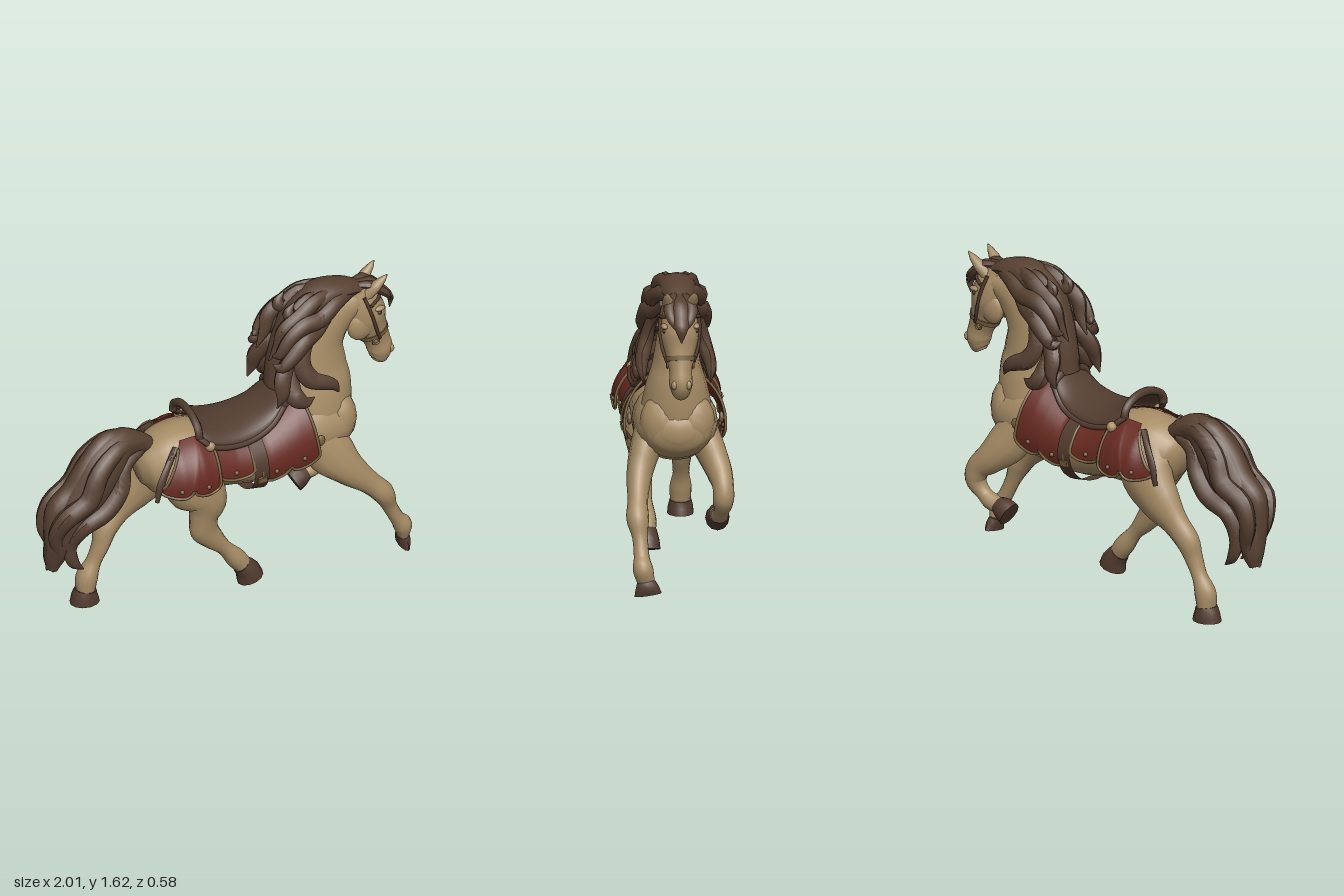
import * as THREE from 'three';
import { toCreasedNormals } from 'three/addons/utils/BufferGeometryUtils.js';

const mat = (name, color, side = THREE.FrontSide) => {
  const m = new THREE.MeshStandardMaterial({ color, side });
  m.name = name;
  return m;
};
const V = (x, y, z) => new THREE.Vector3(x, y, z);

// Solid skinned over elliptical sections [x, y, z, radius in profile, radius across]
function loft(sections, sides = 12, per = 4) {
  const path = new THREE.CatmullRomCurve3(sections.map(s => V(s[0], s[1], s[2])));
  const size = new THREE.CatmullRomCurve3(sections.map(s => V(s[3], s[4], 0)), false, 'catmullrom', 0.4);
  const n = (sections.length - 1) * per, pos = [], idx = [];
  for (let i = 0; i <= n; i++) {
    const c = path.getPoint(i / n), t = path.getTangent(i / n), r = size.getPoint(i / n);
    const side = V(0, 0, 1).addScaledVector(t, -t.z).normalize();
    const up = side.clone().cross(t);
    for (let j = 0; j < sides; j++) {
      const a = (j / sides) * Math.PI * 2;
      const p = c.clone().addScaledVector(up, r.x * Math.cos(a)).addScaledVector(side, r.y * Math.sin(a));
      pos.push(p.x, p.y, p.z);
    }
  }
  for (const k of [0, sections.length - 1]) pos.push(...sections[k].slice(0, 3));
  const start = (n + 1) * sides;
  for (let j = 0; j < sides; j++) {
    const k = (j + 1) % sides;
    for (let i = 0; i < n; i++) {
      const a = i * sides + j, b = i * sides + k;
      idx.push(a, b, a + sides, b, b + sides, a + sides);
    }
    idx.push(start, k, j, start + 1, n * sides + j, n * sides + k);
  }
  const g = new THREE.BufferGeometry();
  g.setAttribute('position', new THREE.Float32BufferAttribute(pos, 3));
  g.setIndex(idx);
  return toCreasedNormals(g, 0.8);
}

// Open sheet from a rule f(u, v) -> Vector3
function sheet(nu, nv, f) {
  const g = new THREE.PlaneGeometry(1, 1, nu, nv), p = g.attributes.position;
  for (let j = 0, k = 0; j <= nv; j++) for (let i = 0; i <= nu; i++, k++) {
    const q = f(i / nu, j / nv);
    p.setXYZ(k, q.x, q.y, q.z);
  }
  g.computeVertexNormals();
  return g;
}
const tube = (pts, r, n = 24) => new THREE.TubeGeometry(new THREE.CatmullRomCurve3(pts), n, r, 6);
const mix = THREE.MathUtils.lerp;

// Barrel stations: x, top, bottom, half width
const barrel = [
  [-0.46, 0.85, 0.70, 0.06], [-0.42, 0.92, 0.65, 0.13], [-0.32, 0.985, 0.61, 0.19], [-0.2, 1.0, 0.60, 0.21],
  [0, 0.95, 0.60, 0.205], [0.18, 0.94, 0.575, 0.21], [0.35, 1.0, 0.59, 0.215], [0.5, 1.02, 0.62, 0.215],
  [0.62, 0.99, 0.66, 0.2], [0.7, 0.95, 0.71, 0.155], [0.74, 0.89, 0.78, 0.07]];
function barrelPoint(x, angle, k) {
  let i = 0;
  while (i < barrel.length - 2 && barrel[i + 1][0] < x) i++;
  const A = barrel[i], B = barrel[i + 1], t = (x - A[0]) / (B[0] - A[0]);
  const top = mix(A[1], B[1], t), bot = mix(A[2], B[2], t), w = mix(A[3], B[3], t);
  return V(x, (top + bot) / 2 + (top - bot) / 2 * k * Math.cos(angle), w * k * Math.sin(angle));
}

export function createModel() {
  const coat = mat('tan coat', 0xa68c65), hair = mat('brown hair', 0x584132);
  const leather = mat('saddle leather', 0x533d30, THREE.DoubleSide), red = mat('red cloth', 0x672a20, THREE.DoubleSide);
  const trim = mat('dull gold trim', 0x78623f), hoofMat = mat('hoof brown', 0x503a2e);
  const horse = new THREE.Group();
  horse.name = 'horse';
  const add = (name, geo, m, parent = horse) => {
    const mesh = new THREE.Mesh(geo, m);
    mesh.name = name;
    parent.add(mesh);
    return mesh;
  };
  const ball = (name, p, r, m, sx = 1, sy = 1, sz = 1) => {
    const b = add(name, new THREE.SphereGeometry(r, 12, 8), m);
    b.position.copy(p);
    b.scale.set(sx, sy, sz);
  };

  // Body, neck and head
  add('barrel', loft(barrel.map(([x, t, b, w]) => [x, (t + b) / 2, 0, (t - b) / 2, w]), 20), coat);
  add('neck', loft([[0.5, 0.78, 0, 0.2, 0.16], [0.53, 0.9, 0, 0.205, 0.18], [0.54, 1.02, 0, 0.2, 0.16], [0.535, 1.15, 0, 0.185, 0.122],
    [0.565, 1.3, 0, 0.148, 0.1], [0.66, 1.42, 0, 0.12, 0.088], [0.77, 1.47, 0, 0.08, 0.08]], 16), coat);
  add('head', loft([[0.76, 1.54, 0, 0.06, 0.06], [0.80, 1.45, 0, 0.105, 0.092], [0.83, 1.36, 0, 0.118, 0.098], [0.87, 1.27, 0, 0.085, 0.074],
    [0.903, 1.19, 0, 0.07, 0.058], [0.918, 1.13, 0, 0.068, 0.06], [0.91, 1.08, 0, 0.05, 0.045], [0.9, 1.062, 0, 0.03, 0.028]], 16), coat);
  for (const s of [1, -1]) {
    add('ear', loft([[0.81, 1.49, 0.05 * s, 0.03, 0.026], [0.86, 1.545, 0.062 * s, 0.03, 0.03],
      [0.9, 1.585, 0.07 * s, 0.018, 0.018], [0.925, 1.612, 0.075 * s, 0.003, 0.003]], 8), coat);
    ball('eye', V(0.875, 1.4, 0.083 * s), 0.016, hoofMat, 1, 0.8, 0.6);
    ball('brow', V(0.875, 1.423, 0.08 * s), 0.028, coat, 1.2, 0.5, 0.7);
    ball('cheek', V(0.78, 1.335, 0.055 * s), 0.078, coat, 0.95, 1.1, 0.5);
    ball('nostril', V(0.965, 1.135, 0.036 * s), 0.02, coat, 0.9, 1.2, 0.8);
    ball('breastMuscle', V(0.63, 0.85, 0.075 * s), 0.125, coat, 0.85, 1.25, 0.95);
    // Bridle cheek strap and bit ring
    add('cheekStrap', tube([V(0.885, 1.235, 0.068 * s), V(0.855, 1.31, 0.092 * s), V(0.82, 1.42, 0.101 * s), V(0.79, 1.51, 0.083 * s)], 0.009), leather);
    const ring = add('bitRing', new THREE.TorusGeometry(0.018, 0.006, 6, 12), trim);
    ring.position.set(0.865, 1.22, 0.066 * s);
  }
  add('noseband', loft([[0.872, 1.262, 0, 0.088, 0.078], [0.88, 1.238, 0, 0.085, 0.074]], 16, 1), trim);
  add('browband', tube([V(0.82, 1.46, -0.1), V(0.89, 1.475, -0.05), V(0.905, 1.475, 0), V(0.89, 1.475, 0.05), V(0.82, 1.46, 0.1)], 0.009), leather);

  // Legs: coat sections, then hoof sections
  const leg = (name, upper, hoof) => {
    const g = new THREE.Group();
    g.name = name;
    add(name + 'Limb', loft(upper, 12), coat, g);
    add(name + 'Hoof', loft(hoof, 12, 2), hoofMat, g);
    horse.add(g);
  };
  leg('frontLeftLeg', [[0.47, 0.84, 0.095, 0.12, 0.1], [0.56, 0.69, 0.16, 0.125, 0.08], [0.65, 0.58, 0.195, 0.088, 0.066], [0.76, 0.475, 0.21, 0.06, 0.052],
    [0.83, 0.4, 0.215, 0.058, 0.058], [0.87, 0.31, 0.205, 0.04, 0.04], [0.915, 0.22, 0.2, 0.038, 0.04], [0.95, 0.165, 0.195, 0.05, 0.052], [0.956, 0.1, 0.18, 0.03, 0.045]],
    [[0.955, 0.1, 0.18, 0.031, 0.047], [0.963, 0.07, 0.175, 0.033, 0.06], [0.963, 0.033, 0.17, 0.025, 0.07]]);
  leg('frontRightLeg', [[0.47, 0.84, -0.095, 0.12, 0.1], [0.57, 0.69, -0.17, 0.115, 0.08], [0.65, 0.6, -0.21, 0.085, 0.068], [0.72, 0.535, -0.228, 0.065, 0.055],
    [0.74, 0.465, -0.228, 0.058, 0.054], [0.695, 0.4, -0.22, 0.04, 0.042], [0.65, 0.365, -0.215, 0.045, 0.046], [0.595, 0.35, -0.21, 0.04, 0.042]],
    [[0.605, 0.355, -0.21, 0.045, 0.046], [0.57, 0.34, -0.21, 0.062, 0.058], [0.53, 0.318, -0.21, 0.068, 0.062]]);
  leg('hindLeftLeg', [[-0.24, 0.82, 0.09, 0.17, 0.11], [-0.19, 0.69, 0.12, 0.16, 0.105], [-0.14, 0.59, 0.14, 0.115, 0.085], [-0.155, 0.49, 0.14, 0.078, 0.062],
    [-0.15, 0.42, 0.135, 0.078, 0.056], [-0.1, 0.345, 0.13, 0.06, 0.048], [-0.03, 0.265, 0.125, 0.04, 0.038], [0.035, 0.185, 0.12, 0.052, 0.05], [0.08, 0.125, 0.12, 0.048, 0.046]],
    [[0.068, 0.135, 0.12, 0.05, 0.05], [0.105, 0.09, 0.12, 0.065, 0.062], [0.12, 0.045, 0.12, 0.072, 0.066]]);
  leg('hindRightLeg', [[-0.26, 0.82, -0.08, 0.17, 0.1], [-0.32, 0.7, -0.11, 0.16, 0.1], [-0.42, 0.59, -0.125, 0.12, 0.085], [-0.52, 0.49, -0.12, 0.075, 0.06],
    [-0.59, 0.41, -0.11, 0.064, 0.06], [-0.62, 0.33, -0.1, 0.048, 0.05], [-0.66, 0.24, -0.1, 0.04, 0.042], [-0.7, 0.155, -0.1, 0.058, 0.056], [-0.71, 0.07, -0.1, 0.05, 0.052]],
    [[-0.708, 0.085, -0.1, 0.058, 0.056], [-0.712, 0.05, -0.1, 0.07, 0.064], [-0.712, 0.01, -0.1, 0.08, 0.068]]);

  // Hair locks: [x, y, z] points with a swelling then tapering thickness
  const lock = (name, pts, a, b) => add(name, loft(pts.map(([x, y, z], i) => {
    const t = i / (pts.length - 1), k = t === 1 ? 0.08 : 0.6 + 0.4 * Math.sin(Math.PI * Math.min(1, t * 1.2));
    return [x, y, z, a * k, b * k];
  }), 8), hair);
  add('maneCrest', loft([[0.8, 1.535, 0, 0.03, 0.055], [0.7, 1.56, 0, 0.05, 0.085], [0.57, 1.555, 0, 0.07, 0.1], [0.46, 1.48, 0, 0.08, 0.11],
    [0.39, 1.35, 0, 0.075, 0.095], [0.335, 1.2, 0, 0.06, 0.08], [0.31, 1.08, 0, 0.045, 0.07]], 12), hair);
  const maneLocks = [
    [[0.74, 1.55, 0.04], [0.62, 1.53, 0.095], [0.52, 1.48, 0.12], [0.42, 1.47, 0.13], [0.34, 1.42, 0.135], [0.28, 1.34, 0.13], [0.25, 1.33, 0.11]],
    [[0.64, 1.58, 0.04], [0.5, 1.56, 0.08], [0.41, 1.5, 0.09], [0.33, 1.45, 0.09], [0.3, 1.36, 0.08], [0.25, 1.28, 0.07]],
    [[0.58, 1.56, 0.03], [0.48, 1.56, 0.05], [0.4, 1.51, 0.06], [0.37, 1.53, 0.06], [0.4, 1.58, 0.06]],
    [[0.6, 1.47, 0.07], [0.5, 1.41, 0.115], [0.42, 1.39, 0.145], [0.35, 1.33, 0.16], [0.28, 1.28, 0.16], [0.24, 1.3, 0.14]],
    [[0.5, 1.4, 0.09], [0.43, 1.33, 0.12], [0.41, 1.23, 0.145], [0.45, 1.16, 0.165], [0.52, 1.13, 0.175], [0.57, 1.1, 0.175], [0.6, 1.05, 0.17]],
    [[0.41, 1.32, 0.08], [0.33, 1.26, 0.12], [0.29, 1.19, 0.15], [0.28, 1.12, 0.17], [0.25, 1.05, 0.17]],
    [[0.38, 1.2, 0.08], [0.35, 1.14, 0.14], [0.35, 1.09, 0.175], [0.4, 1.05, 0.185], [0.46, 1.06, 0.175]]];
  for (const s of [1, -1]) {
    for (const pts of maneLocks) lock('maneLock', pts.map(([x, y, z]) => [x, y, z * s]), 0.05, 0.038);
    lock('forelock', [[0.78, 1.56, 0.025 * s], [0.85, 1.55, 0.045 * s], [0.9, 1.51, 0.055 * s], [0.94, 1.47, 0.045 * s], [0.965, 1.42, 0.025 * s]], 0.024, 0.032);
  }
  lock('forelock', [[0.78, 1.56, 0], [0.88, 1.54, 0], [0.935, 1.48, 0], [0.975, 1.43, 0], [0.975, 1.36, 0]], 0.022, 0.045);
  add('tailCore', loft([[-0.37, 0.9, 0, 0.035, 0.035], [-0.46, 0.955, 0, 0.06, 0.06], [-0.57, 0.975, 0.01, 0.09, 0.085], [-0.67, 0.89, 0.02, 0.125, 0.105],
    [-0.76, 0.77, 0.025, 0.12, 0.115], [-0.86, 0.65, 0.025, 0.1, 0.105], [-0.91, 0.5, 0.015, 0.085, 0.08], [-0.935, 0.4, 0, 0.06, 0.06], [-0.95, 0.33, 0, 0.03, 0.035]], 12), hair);
  for (const s of [1, -1]) {
    lock('tailLock', [[-0.46, 0.97, 0.03 * s], [-0.6, 0.99, 0.01 + 0.06 * s], [-0.73, 0.9, 0.02 + 0.085 * s], [-0.8, 0.76, 0.02 + 0.1 * s],
      [-0.92, 0.68, 0.02 + 0.09 * s], [-0.96, 0.57, 0.07 * s], [-0.93, 0.45, 0.05 * s], [-0.96, 0.33, 0.03 * s]], 0.058, 0.05);
    lock('tailLock', [[-0.46, 0.93, 0.03 * s], [-0.57, 0.88, 0.01 + 0.06 * s], [-0.61, 0.77, 0.02 + 0.085 * s], [-0.7, 0.67, 0.02 + 0.1 * s],
      [-0.83, 0.6, 0.02 + 0.09 * s], [-0.88, 0.48, 0.065 * s], [-0.86, 0.38, 0.07 * s], [-0.8, 0.32, 0.06 * s]], 0.052, 0.045);
  }
  lock('tailLock', [[-0.5, 1.01, 0], [-0.64, 1.02, 0], [-0.77, 0.9, 0.02], [-0.85, 0.78, 0.02], [-0.94, 0.7, 0.02], [-0.965, 0.55, 0.02], [-0.96, 0.42, 0.01], [-0.98, 0.33, 0]], 0.05, 0.06);

  // Cloth panels with scalloped hems: back edge top/bottom, front edge top/bottom, scallops, hem angle, top angle, flare, front lift
  const panels = [[-0.28, -0.43, -0.12, -0.12, 2, 1.72, 0.55, 0.24, 0],
    [-0.12, -0.12, 0.08, 0.08, 1, 1.55, 0.4, 0.16, 0], [0.13, 0.13, 0.4, 0.45, 2, 1.78, 0.35, 0.15, 0.06]];
  for (const s of [1, -1]) for (const [b0, b1, f0, f1, n, hem, top, flare, lift] of panels) {
    const f = (u, v) => {
      const end = hem + 0.19 * Math.sqrt(Math.abs(Math.sin(u * n * Math.PI)));
      const p = barrelPoint(mix(mix(b0, f0, u), mix(b1, f1, u), v), s * mix(top, end, v), 1.07 + flare * v);
      p.y += lift * u * (1 - v);
      p.z += s * 0.05 * (flare > 0.2 ? (1 - u) * v : 0);
      return p;
    };
    add('clothPanel', sheet(24, 10, f), red);
    const edge = [];
    for (let i = 1; i <= 6; i++) edge.push(f(0, i / 6));
    for (let i = 1; i <= 24; i++) edge.push(f(i / 24, 1));
    for (let i = 5; i >= 1; i--) edge.push(f(1, i / 6));
    add('clothTrim', tube(edge, 0.008, 70), trim);
    for (let i = 0; i < n; i++) ball('stud', f((i + 0.5) / n, 0.86), 0.012, trim);
  }
  for (const s of [1, -1]) {
    ball('rosette', barrelPoint(-0.14, 0.85 * s, 1.17), 0.028, coat);
    ball('tassel', V(0.465, 0.83, 0.235 * s), 0.026, trim, 1, 1.2, 0.5);
    // Fringe hanging behind the rear panel
    add('fringe', loft([[-0.31, 0.95, 0.13 * s, 0.012, 0.02], [-0.38, 0.88, 0.18 * s, 0.02, 0.014],
      [-0.43, 0.79, 0.2 * s, 0.024, 0.012], [-0.45, 0.7, 0.2 * s, 0.012, 0.01]], 8), leather);
  }

  // Saddle: seat sheet, narrower at both ends, with rolled rims. Ridge points hold x, ridge height, edge height
  const ridge = new THREE.CatmullRomCurve3([V(-0.19, 1.09, 1.0), V(-0.13, 1.045, 0.95), V(-0.02, 1.005, 0.92), V(0.1, 1.0, 0.92), V(0.22, 1.03, 0.96), V(0.31, 1.1, 1.04)]);
  const seat = (u, v) => {
    const c = ridge.getPoint(u), a = (v - 0.5) * Math.PI * 1.06;
    const w = 0.195 - 0.045 * Math.pow(1 - u, 6) - 0.07 * u * u * u;
    return V(c.x, mix(c.z, c.y, Math.cos(a)), 0.01 + w * Math.sin(a));
  };
  add('saddleSeat', sheet(20, 20, seat), leather);
  const line = f => Array.from({ length: 17 }, (_, i) => f(i / 16));
  add('cantle', tube(line(t => seat(0, t)), 0.022, 32), leather);
  add('pommel', tube(line(t => seat(1, t)), 0.022, 32), leather);
  for (const v of [0, 1]) add('saddleEdge', tube(line(t => seat(t, v)), 0.016, 32), leather);

  // Girth strap around the belly, with buckles
  add('girth', sheet(2, 40, (u, v) => barrelPoint(0.06 + 0.08 * u + 0.03 * Math.abs(Math.sin(v * Math.PI)), v * Math.PI * 2,
    1.12 + 0.12 * Math.abs(Math.sin(v * Math.PI * 2)))), leather);
  for (const s of [1, -1]) {
    const buckle = add('buckle', new THREE.BoxGeometry(0.05, 0.035, 0.02), trim);
    buckle.position.copy(barrelPoint(0.125, 1.85 * s, 1.24));
    buckle.rotation.x = 0.2 * s;
  }
  return horse;
}
